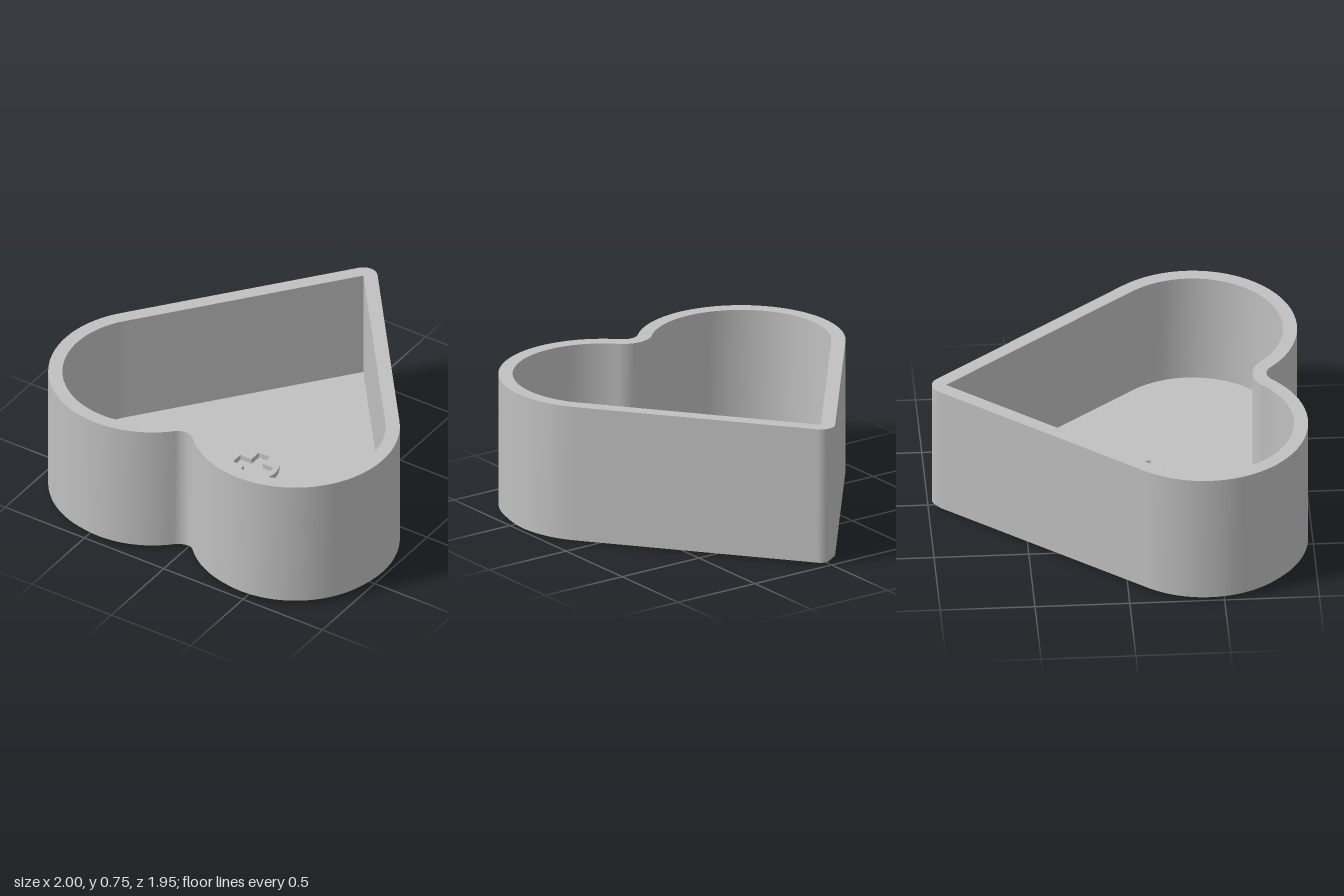
import * as THREE from 'three';
import { toCreasedNormals } from 'three/addons/utils/BufferGeometryUtils.js';

const HEIGHT = 0.755, WALL = 0.075, FLOOR = 0.13, CHAMFER = 0.03;
const LOBE = { x: 0.45, z: 0.425, r: 0.55 };
const TIP_Z = -0.904;
const NOTCH_R = 0.08;

// Heart outline in (x, z), moved inward by inset; always the same point count
function heart(inset) {
  const dz = LOBE.z - TIP_Z;
  const a = Math.atan2(LOBE.x, dz) + Math.asin((LOBE.r - WALL) / Math.hypot(LOBE.x, dz));
  const rise = Math.sqrt((LOBE.r + NOTCH_R) ** 2 - LOBE.x ** 2);
  const half = [];
  const arc = (cx, cz, r, from, to, n) => {
    for (let i = 0; i <= n; i++) {
      const t = from + (to - from) * i / n;
      half.push(new THREE.Vector2(cx + r * Math.cos(t), cz + r * Math.sin(t)));
    }
  };
  arc(0, TIP_Z, WALL - inset, -Math.PI / 2, -a, 8);
  arc(LOBE.x, LOBE.z, LOBE.r - inset, -a, Math.atan2(rise, -LOBE.x), 48);
  arc(0, LOBE.z + rise, NOTCH_R + inset, Math.atan2(-rise, LOBE.x), -Math.PI / 2, 8);
  const mirrored = half.slice(1, -1).reverse().map(p => new THREE.Vector2(-p.x, p.y));
  return half.concat(mirrored);
}

// Surface between two heart outlines, each given as [inset, y]
function band([insetA, yA], [insetB, yB]) {
  const a = heart(insetA), b = heart(insetB), n = a.length;
  const pos = [], index = [];
  for (let i = 0; i < n; i++) {
    pos.push(a[i].x, yA, a[i].y, b[i].x, yB, b[i].y);
    const j = (i + 1) % n;
    index.push(2 * i, 2 * i + 1, 2 * j, 2 * i + 1, 2 * j + 1, 2 * j);
  }
  const g = new THREE.BufferGeometry();
  g.setAttribute('position', new THREE.Float32BufferAttribute(pos, 3));
  g.setIndex(index);
  g.computeVertexNormals();
  return g;
}

// Flat heart facing up or down
function cap(inset, y, up) {
  const s = up ? -1 : 1;
  const shape = new THREE.Shape(heart(inset).map(p => new THREE.Vector2(p.x, s * p.y)));
  return new THREE.ShapeGeometry(shape).rotateX(s * Math.PI / 2).translate(0, y, 0);
}

export function createModel() {
  const grey = new THREE.MeshStandardMaterial({ color: 0xc0c0c0 });
  grey.name = 'grey';
  const model = new THREE.Group();
  model.name = 'heartBox';
  const add = (name, geometry) => {
    const mesh = new THREE.Mesh(geometry, grey);
    mesh.name = name;
    model.add(mesh);
    return mesh;
  };

  // Base with a finely stepped lower edge
  add('underside', cap(CHAMFER, 0, false));
  const steps = 4, d = CHAMFER / steps;
  for (let i = 0; i < steps; i++) {
    const inset = CHAMFER - i * d;
    add('baseStepSide', band([inset, i * d], [inset, (i + 1) * d]));
    add('baseStepLedge', band([inset, (i + 1) * d], [inset - d, (i + 1) * d]));
  }

  // Walls, rim and floor
  add('outerWall', band([0, CHAMFER], [0, HEIGHT]));
  add('rim', band([0, HEIGHT], [WALL, HEIGHT]));
  add('innerWall', band([WALL, HEIGHT], [WALL, FLOOR]));
  add('floor', cap(WALL, FLOOR, true));

  // Round boss with a cross-shaped socket
  const L = 0.105, W = 0.035;
  const disc = new THREE.Shape().absarc(0, 0, 0.137, 0, Math.PI * 2, false);
  const cross = [[W, L], [W, W], [L, W], [L, -W], [W, -W], [W, -L],
    [-W, -L], [-W, -W], [-L, -W], [-L, W], [-W, W], [-W, L]];
  disc.holes.push(new THREE.Path(cross.map(([x, y]) => new THREE.Vector2(x, y))));
  const boss = new THREE.ExtrudeGeometry(disc, { depth: 0.03, bevelEnabled: false, curveSegments: 24 });
  boss.rotateX(-Math.PI / 2);
  add('crossSocketBoss', toCreasedNormals(boss, 0.5)).position.set(0, FLOOR, 0.145);

  return model;
}
